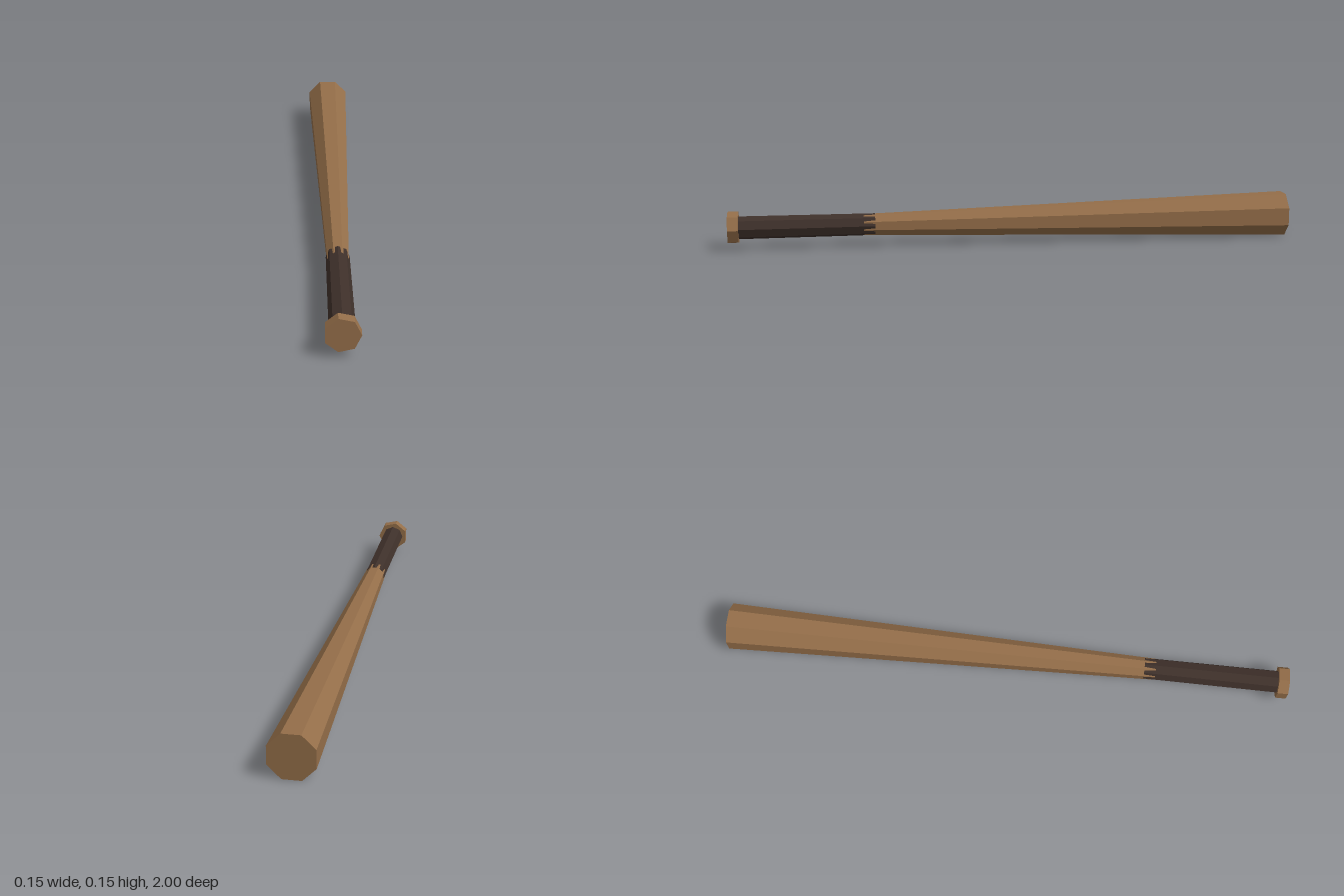
import * as THREE from 'three';

const CENTER_Y = 0.0755;

export function createModel() {
  const wood = new THREE.MeshStandardMaterial({ name: 'wood', color: 0x946e49, flatShading: true });
  const wrap = new THREE.MeshStandardMaterial({ name: 'darkWrap', color: 0x3e302a, flatShading: true });
  const bat = new THREE.Group();
  bat.name = 'bat';

  // Faceted tapered section lying along z, from zBack to zFront
  function section(name, material, zBack, zFront, rBack, rFront, sides, turn) {
    const geometry = new THREE.CylinderGeometry(rFront, rBack, zFront - zBack, sides, 1, false, turn);
    geometry.rotateX(Math.PI / 2);
    const mesh = new THREE.Mesh(geometry, material);
    mesh.name = name;
    mesh.position.set(0, CENTER_Y, (zBack + zFront) / 2);
    bat.add(mesh);
  }

  // Eight-sided barrel with flats on top and bottom, narrowing into the grip
  section('barrel', wood, -1, 0.53, 0.0817, 0.0375, 8, Math.PI / 8);
  // Dark grip
  section('grip', wrap, 0.49, 0.97, 0.039, 0.0405, 8, 0);
  // Seven-sided knob with one corner pointing to +x
  section('knob', wood, 0.963, 1, 0.057, 0.057, 7, Math.PI / 2);

  return bat;
}
